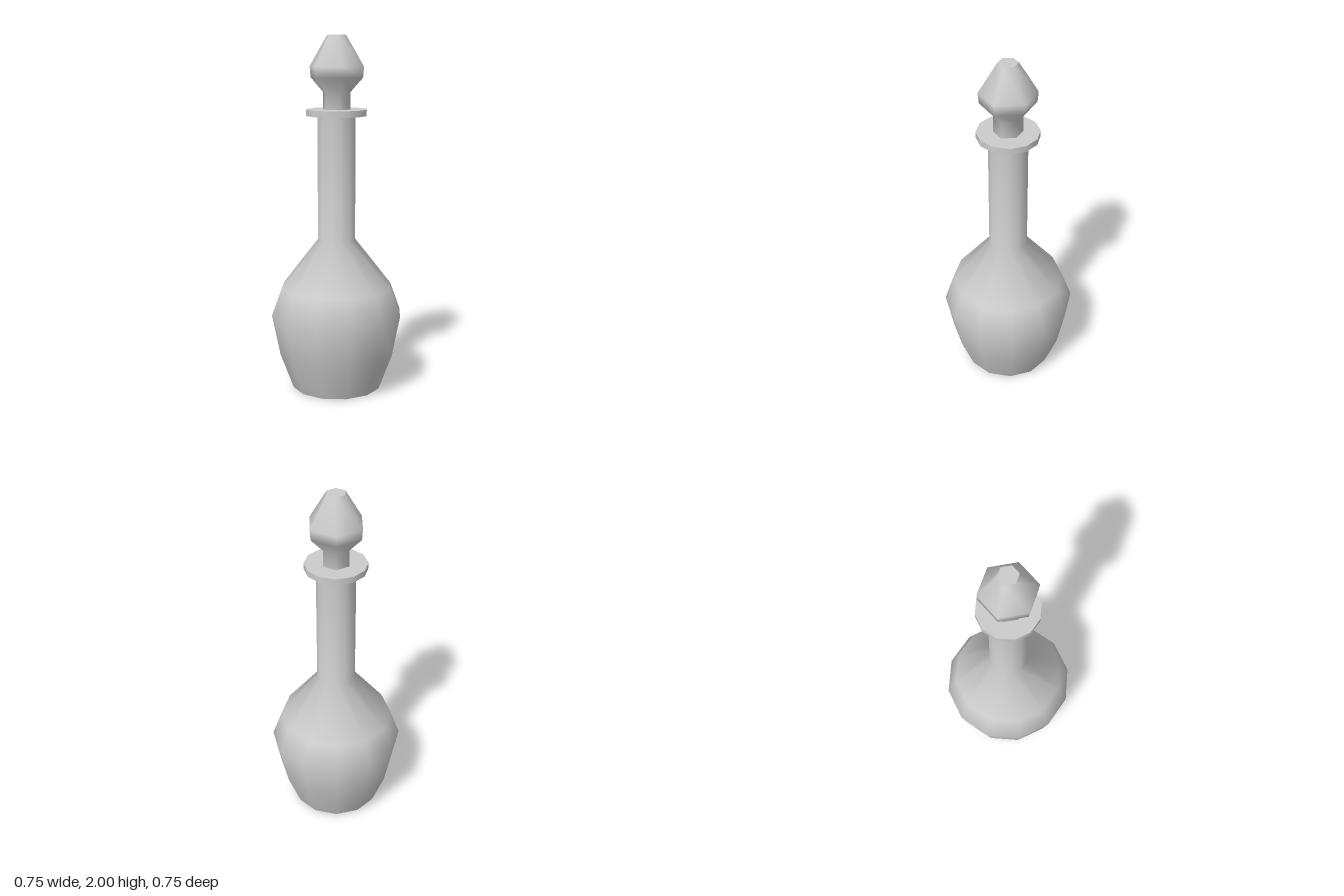
import * as THREE from 'three';
import { mergeGeometries } from 'three/addons/utils/BufferGeometryUtils.js';

const material = new THREE.MeshStandardMaterial({ color: 0xcccccc });

// Flat horizontal disc with a corner on the z axis, matching the lathe's corners
function disc(radius, y, sides, up) {
  const geometry = new THREE.CircleGeometry(radius, sides, Math.PI / 2);
  geometry.rotateX(up ? -Math.PI / 2 : Math.PI / 2);
  return geometry.translate(0, y, 0);
}

// Smooth turned wall, closed by flat discs with sharp rims
function turned(name, profile, sides) {
  const points = profile.map(([r, y]) => new THREE.Vector2(r, y));
  const [bottomR, bottomY] = profile[0];
  const [topR, topY] = profile[profile.length - 1];
  const mesh = new THREE.Mesh(mergeGeometries([
    new THREE.LatheGeometry(points, sides),
    disc(bottomR, bottomY, sides, false),
    disc(topR, topY, sides, true),
  ]), material);
  mesh.name = name;
  return mesh;
}

export function createModel() {
  const model = new THREE.Group();
  model.name = 'decanter';

  // Rounded belly tapering into a long straight neck
  model.add(turned('bottle', [
    [0.253, 0], [0.328, 0.2], [0.375, 0.435], [0.318, 0.59], [0.108, 0.86], [0.108, 1.565],
  ], 12));

  // Flat collar around the mouth
  model.add(turned('lip', [[0.172, 1.56], [0.172, 1.595]], 12));

  // Six-sided stopper with a short stem and pointed knob
  model.add(turned('stopper', [
    [0.08, 1.57], [0.08, 1.69], [0.152, 1.77], [0.157, 1.83], [0.055, 2],
  ], 6));

  return model;
}
